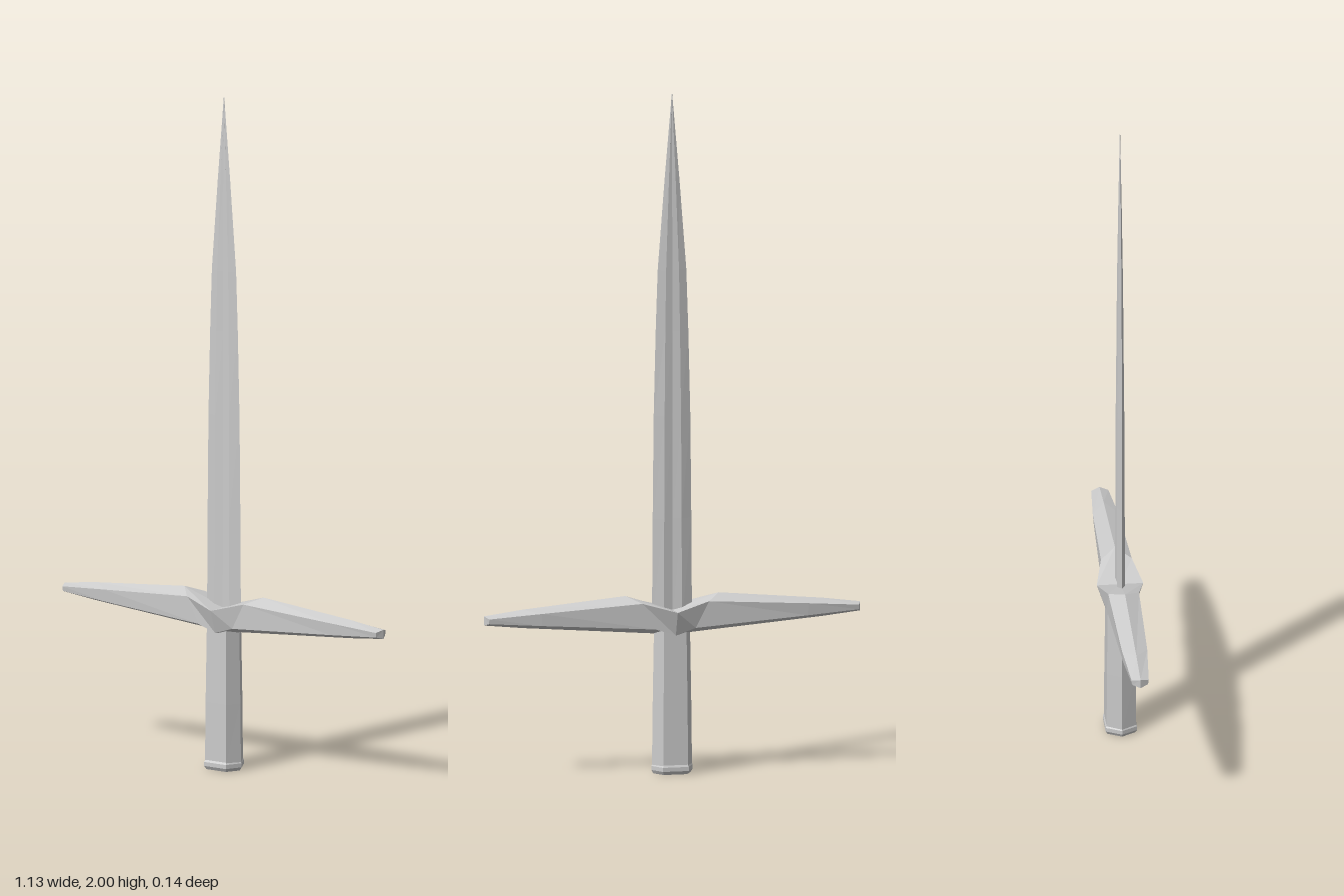
import * as THREE from 'three';

const material = new THREE.MeshStandardMaterial({ color: 0xcccccc, flatShading: true });

// Joins closed rings of [x, y, z] points and caps both ends.
function loft(name, rings) {
  const pos = [];
  const tri = (a, b, c) => pos.push(...a, ...b, ...c);
  const n = rings[0].length;
  for (let r = 0; r < rings.length - 1; r++) {
    for (let i = 0; i < n; i++) {
      const j = (i + 1) % n, a = rings[r], b = rings[r + 1];
      tri(a[i], a[j], b[j]);
      tri(a[i], b[j], b[i]);
    }
  }
  const first = rings[0], last = rings[rings.length - 1];
  for (let i = 1; i < n - 1; i++) {
    tri(first[0], first[i + 1], first[i]);
    tri(last[0], last[i], last[i + 1]);
  }
  const geometry = new THREE.BufferGeometry();
  geometry.setAttribute('position', new THREE.Float32BufferAttribute(pos, 3));
  geometry.computeVertexNormals();
  const mesh = new THREE.Mesh(geometry, material);
  mesh.name = name;
  return mesh;
}

// Blade section: two bevelled edges with a shallow fuller between them.
const bladeRing = ([y, w, t]) => [
  [w, y, 0], [w * 0.45, y, -t], [0, y, -t * 0.55], [-w * 0.45, y, -t],
  [-w, y, 0], [-w * 0.45, y, t], [0, y, t * 0.55], [w * 0.45, y, t],
];

// Six-sided section with edges at the left and right.
const hexRing = ([y, w, d]) => [
  [w, y, 0], [w * 0.62, y, -d], [-w * 0.62, y, -d],
  [-w, y, 0], [-w * 0.62, y, d], [w * 0.62, y, d],
];

// Guard section: top ridge, upper shoulder, lower shoulder, bottom ridge as [x, y, z].
const guardRing = ([top, upper, lower, bottom], side) => {
  const at = ([x, y, z], s) => [x * side, y, z * s];
  return [at(top, 1), at(upper, 1), at(lower, 1), at(bottom, 1), at(lower, -1), at(upper, -1)];
};

export function createModel() {
  const sword = new THREE.Group();
  sword.name = 'sword';

  // Blade tapering to the point
  sword.add(loft('blade', [
    [0.44, 0.06, 0.012], [0.75, 0.058, 0.011], [1.05, 0.055, 0.01],
    [1.3, 0.049, 0.008], [1.48, 0.043, 0.007], [1.75, 0.022, 0.004], [2, 0.0005, 0.0005],
  ].map(bladeRing)));

  // Crossguard, mirrored about its notched centre
  const centre = [[0, 0.48, 0], [0, 0.48, 0.068], [0, 0.41, 0.045], [0, 0.41, 0]];
  const arm = [
    [[0.14, 0.525, 0], [0.1, 0.507, 0.045], [0.06, 0.43, 0.045], [0.06, 0.412, 0]],
    [[0.45, 0.497, 0], [0.4, 0.488, 0.037], [0.4, 0.452, 0.034], [0.45, 0.443, 0]],
    [[0.565, 0.482, 0], [0.555, 0.476, 0.025], [0.555, 0.462, 0.023], [0.565, 0.455, 0]],
  ];
  sword.add(loft('crossguard', [
    ...[...arm].reverse().map((s) => guardRing(s, -1)),
    guardRing(centre, 1),
    ...arm.map((s) => guardRing(s, 1)),
  ]));

  // Grip
  sword.add(loft('grip', [[0.02, 0.06, 0.043], [0.2, 0.058, 0.042], [0.43, 0.054, 0.039]].map(hexRing)));

  // Pommel cap with bevelled rims
  sword.add(loft('pommel', [
    [0, 0.056, 0.04], [0.01, 0.062, 0.046], [0.022, 0.062, 0.046], [0.032, 0.056, 0.041],
  ].map(hexRing)));

  return sword;
}
